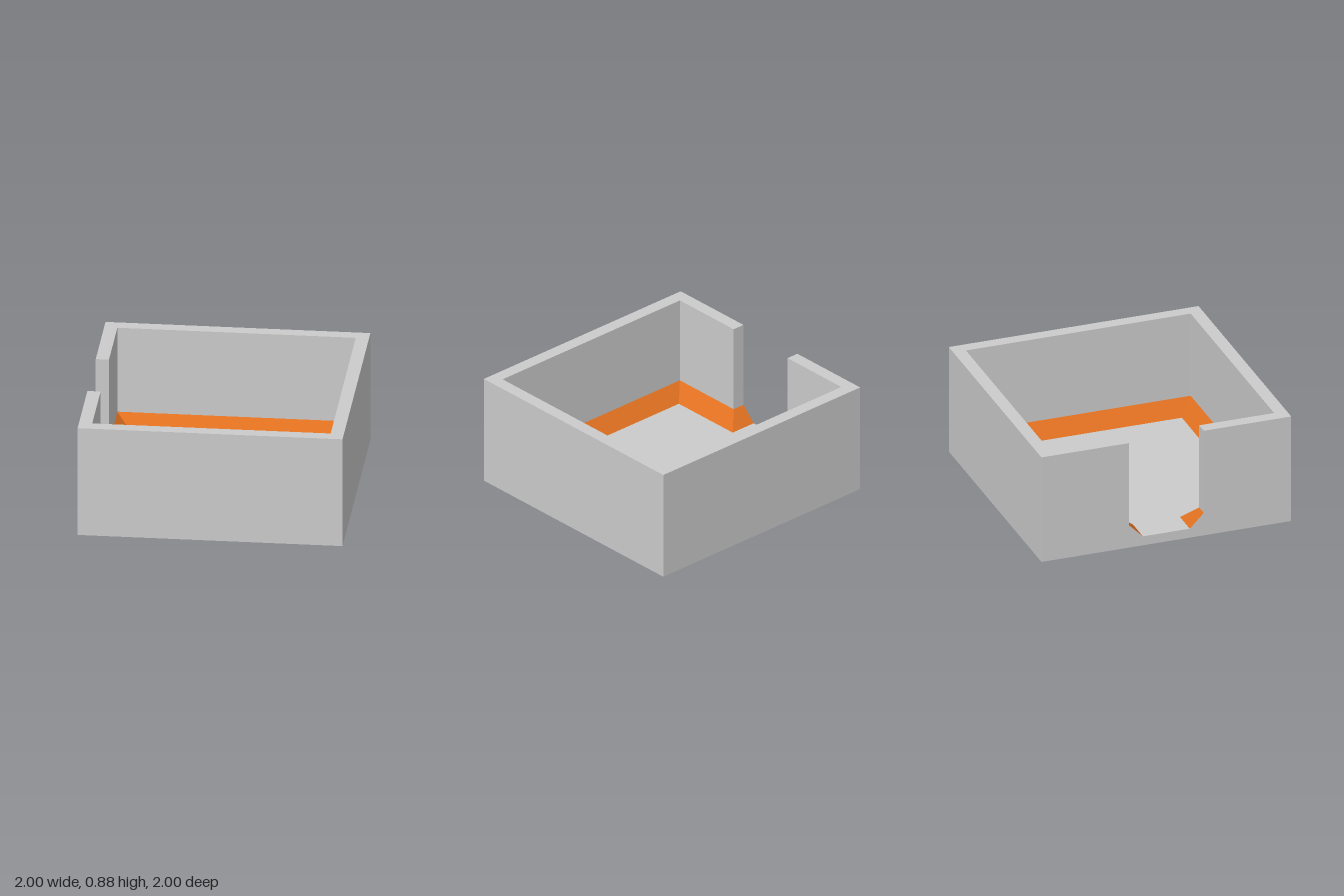
import * as THREE from 'three';

const HEIGHT = 0.875, COVE = 0.1875, FLOOR = 0.075; // rim, coving top, floor level
const WALL = 0.9, DOOR = 0.3;                       // wall inner face, doorway half width
const STEP = COVE - FLOOR;                          // 45 degree coving

const grey = new THREE.MeshStandardMaterial({ color: 0xcccccc, flatShading: true });
const orange = new THREE.MeshStandardMaterial({ color: 0xe07020, flatShading: true });

// Inner outline [x, z], running from one doorway jamb round the room to the other
const outline = (w, d) => [
  [-1, d], [-w, d], [-w, w], [w, w], [w, -w], [-w, -w], [-w, -d], [-1, -d],
];

// Strip of quads joining two outlines at different heights
function strip(top, yTop, bottom, yBottom) {
  const pos = [];
  for (let i = 0; i < top.length - 1; i++) {
    const at = (p, y, k) => [p[k][0], y, p[k][1]];
    const ta = at(top, yTop, i), tb = at(top, yTop, i + 1);
    const ba = at(bottom, yBottom, i), bb = at(bottom, yBottom, i + 1);
    pos.push(...ta, ...bb, ...ba, ...ta, ...tb, ...bb);
  }
  const geo = new THREE.BufferGeometry();
  geo.setAttribute('position', new THREE.Float32BufferAttribute(pos, 3));
  geo.computeVertexNormals();
  return geo;
}

const polygon = (pts) =>
  new THREE.ShapeGeometry(new THREE.Shape(pts.map(([x, y]) => new THREE.Vector2(x, y))));

// Upward facing flat polygon from [x, z] points
const flat = (pts, y) =>
  polygon(pts.map(([x, z]) => [x, -z])).rotateX(-Math.PI / 2).translate(0, y, 0);

export function createModel() {
  const group = new THREE.Group();
  const add = (name, geometry, material = grey) => {
    const mesh = new THREE.Mesh(geometry, material);
    mesh.name = name;
    group.add(mesh);
  };

  const upper = outline(WALL, DOOR);
  const lower = outline(WALL - STEP, DOOR - STEP);
  const corners = [[-1, -1], [1, -1], [1, 1], [-1, 1]];

  // Room interior
  add('innerWalls', strip(upper, HEIGHT, upper, COVE));
  add('coving', strip(upper, COVE, lower, FLOOR), orange);
  add('floor', flat(lower, FLOOR));

  // Outside of the box
  add('wallRim', flat([...upper, ...corners], HEIGHT));
  add('outerWalls', strip(corners, HEIGHT, corners, 0));
  add('base', new THREE.PlaneGeometry(2, 2).rotateX(Math.PI / 2));

  // Outer wall with the chamfered doorway, drawn as [z, y]
  const d = DOOR - STEP;
  add('doorwayWall', polygon([
    [-1, 0], [1, 0], [1, HEIGHT], [DOOR, HEIGHT], [DOOR, COVE], [d, FLOOR],
    [-d, FLOOR], [-DOOR, COVE], [-DOOR, HEIGHT], [-1, HEIGHT],
  ]).rotateY(-Math.PI / 2).translate(-1, 0, 0));

  return group;
}
